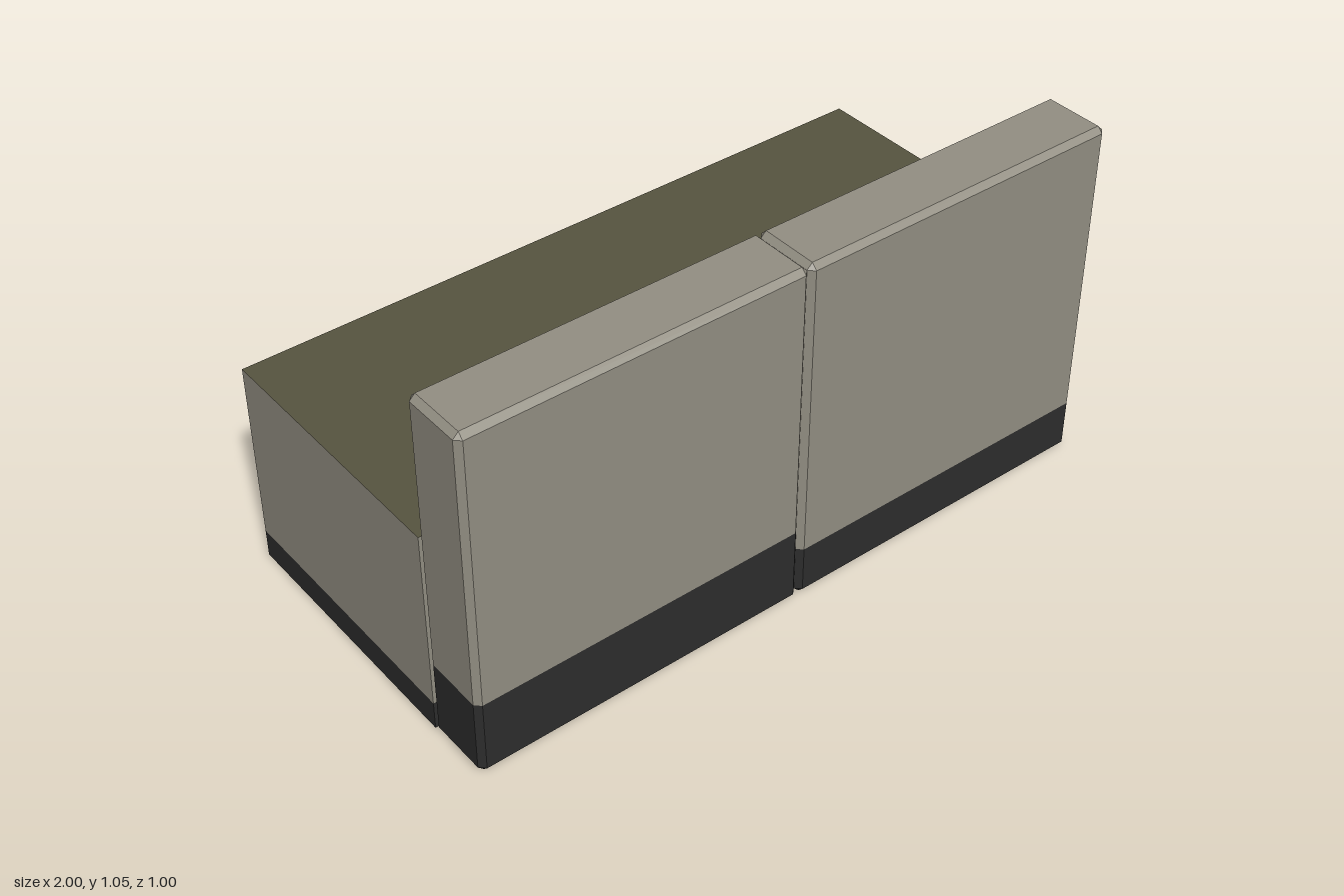
import * as THREE from 'three';
import { ConvexGeometry } from 'three/addons/geometries/ConvexGeometry.js';

const fabric = new THREE.MeshStandardMaterial({ name: 'warmGrey', color: 0x938f83 });
const base = new THREE.MeshStandardMaterial({ name: 'charcoal', color: 0x2d2d2d });
const seatTop = new THREE.MeshStandardMaterial({ name: 'olive', color: 0x575540 });

const HEIGHT = 1.053, CHAMFER = 0.016;

// One end of a chamfered slab 1 wide and 0.2 deep: cut square at y = cut, chamfered at y = end
function slabHalf(cut, end) {
  const a = 0.5, b = 0.1, c = CHAMFER;
  const inner = end + (end > cut ? -c : c);
  const points = [];
  for (const sx of [-1, 1]) for (const sz of [-1, 1]) {
    for (const y of [cut, inner]) {
      points.push(new THREE.Vector3(sx * a, y, sz * (b - c)));
      points.push(new THREE.Vector3(sx * (a - c), y, sz * b));
    }
    points.push(new THREE.Vector3(sx * (a - c), end, sz * (b - c)));
  }
  return new ConvexGeometry(points);
}

export function createModel() {
  const group = new THREE.Group();
  const add = (parent, name, geometry, material, x, y, z) => {
    const mesh = new THREE.Mesh(geometry, material);
    mesh.name = name;
    mesh.position.set(x, y, z);
    parent.add(mesh);
  };

  // Long block with an olive top face and a dark plinth
  const block = new THREE.Group();
  block.name = 'block';
  const plinth = 0.085, top = 0.627;
  add(block, 'blockPlinth', new THREE.BoxGeometry(2, plinth, 0.8), base, 0, plinth / 2, -0.1);
  add(block, 'blockBody', new THREE.BoxGeometry(2, top - plinth, 0.8),
    [fabric, fabric, seatTop, fabric, fabric, fabric], 0, (top + plinth) / 2, -0.1);
  group.add(block);

  // Two chamfered upright panels, each with its own dark band height
  for (const [name, x, band] of [['rightPanel', -0.5, 0.23], ['leftPanel', 0.5, 0.155]]) {
    const panel = new THREE.Group();
    panel.name = name;
    add(panel, name + 'Upper', slabHalf(band, HEIGHT), fabric, x, 0, 0.4);
    add(panel, name + 'Band', slabHalf(band, 0), base, x, 0, 0.4);
    group.add(panel);
  }
  return group;
}
